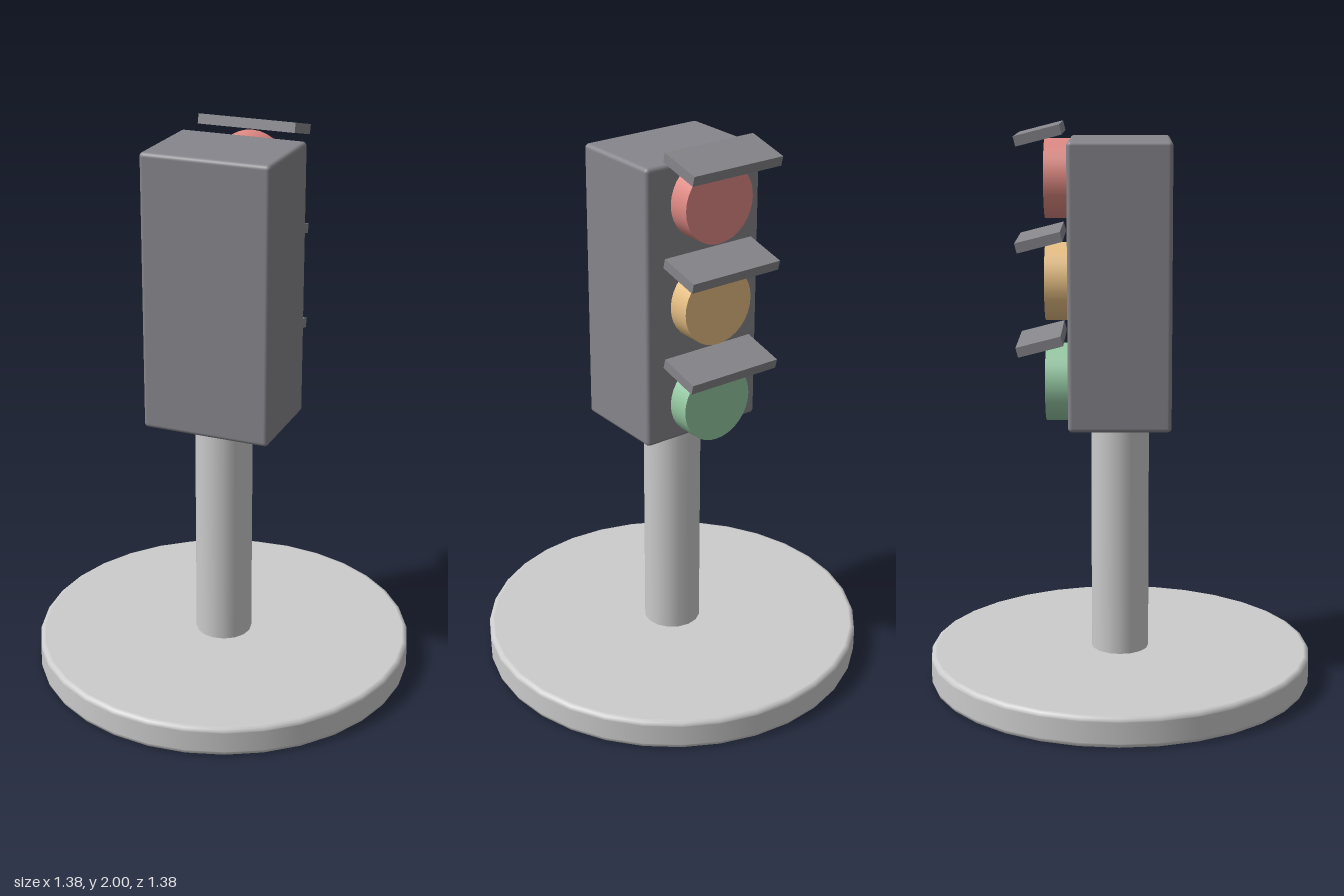
import * as THREE from 'three';
import { RoundedBoxGeometry } from 'three/addons/geometries/RoundedBoxGeometry.js';

const material = (color) => new THREE.MeshStandardMaterial({ color });

function addPart(parent, name, geometry, mat, x = 0, y = 0, z = 0) {
  const mesh = new THREE.Mesh(geometry, mat);
  mesh.name = name;
  mesh.position.set(x, y, z);
  parent.add(mesh);
  return mesh;
}

export function createModel() {
  const model = new THREE.Group();
  model.name = 'trafficLight';
  const grey = material(0xcccccc);
  const dark = material(0x86868c);

  // Round foot with softened rims
  const R = 0.69, H = 0.11, b = 0.014;
  const profile = [
    [0, 0], [R - b - 0.004, 0], [R - b, 0], [R - b * 0.3, b * 0.3], [R, b], [R, b + 0.004],
    [R, H - b - 0.004], [R, H - b], [R - b * 0.3, H - b * 0.3], [R - b, H], [R - b - 0.004, H], [0, H],
  ].map(([r, y]) => new THREE.Vector2(r, y));
  addPart(model, 'base', new THREE.LatheGeometry(profile, 32), grey);

  // Pole from the foot into the housing
  addPart(model, 'pole', new THREE.CylinderGeometry(0.103, 0.103, 0.9, 16), grey, 0, 0.55, 0);

  // Signal housing
  addPart(model, 'housing', new RoundedBoxGeometry(0.466, 0.99, 0.356, 3, 0.015), dark, 0, 1.453, 0);

  // Three lamps on the -z face, each under a tilted visor
  const lampGeometry = new THREE.CylinderGeometry(0.137, 0.137, 0.1, 32).rotateX(Math.PI / 2);
  const visorGeometry = new THREE.BoxGeometry(0.358, 0.035, 0.16);
  const lamps = [['red', 0xe08a84], ['amber', 0xe8c084], ['green', 0x96caa4]];
  lamps.forEach(([name, color], i) => {
    const y = 1.81 - i * 0.358;
    addPart(model, name + 'Lamp', lampGeometry, material(color), 0, y, -0.21);
    const visor = addPart(model, name + 'Visor', visorGeometry, dark, 0, y + 0.154, -0.276);
    visor.rotation.x = -0.25;
  });

  return model;
}
